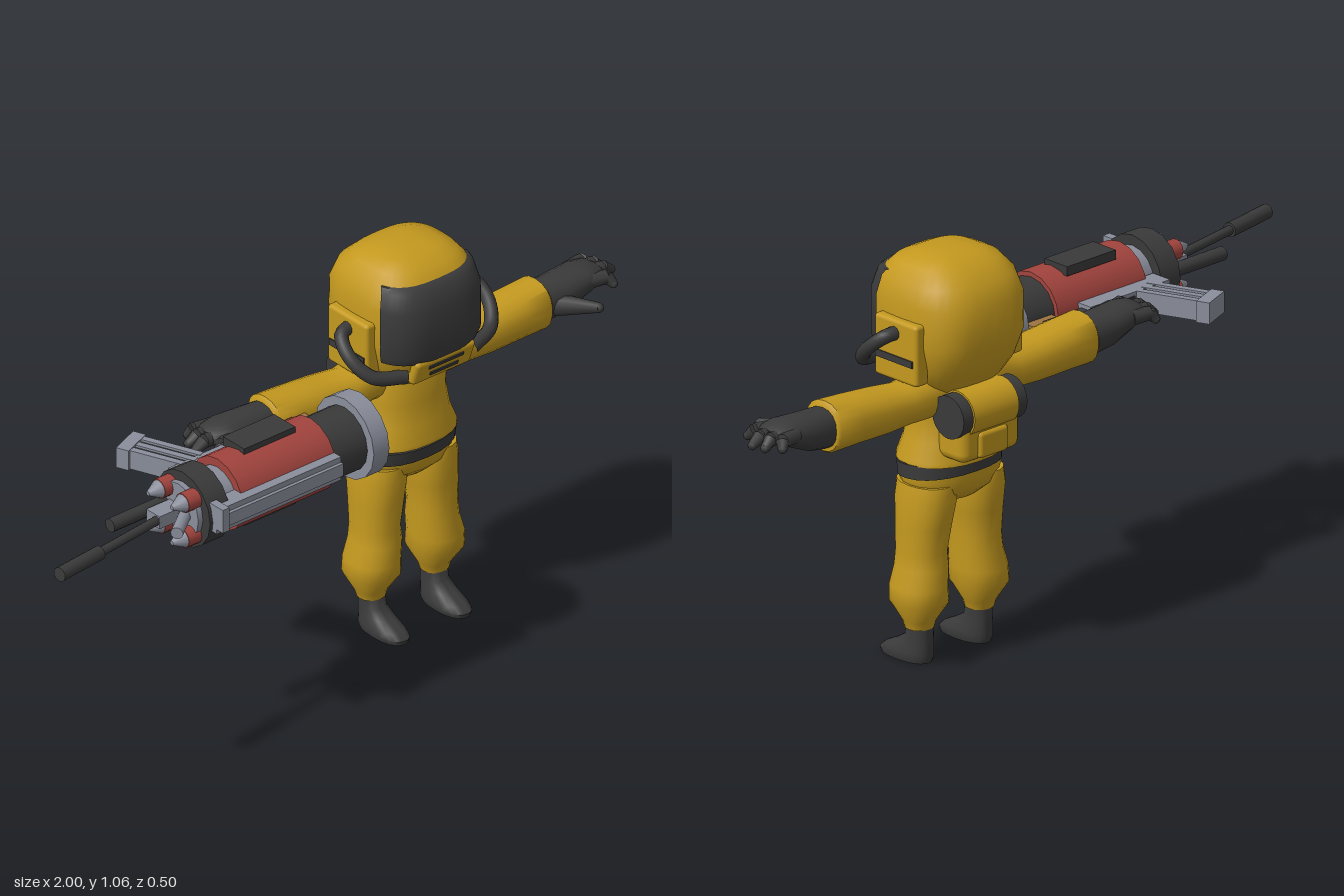
import * as THREE from 'three';
import { toCreasedNormals } from 'three/addons/utils/BufferGeometryUtils.js';
import { RoundedBoxGeometry } from 'three/addons/geometries/RoundedBoxGeometry.js';

const mat = (name, color) => {
  const m = new THREE.MeshStandardMaterial({ color });
  m.name = name;
  return m;
};

const V = (x, y, z) => new THREE.Vector3(x, y, z);

// Skin over stacked rings [height, centreU, centreV, radiusU, radiusV]; n is the squareness
function loft(rings, { n = 2.3, seg = 24, from = 0, to = Math.PI * 2 } = {}) {
  const pos = [], idx = [];
  const full = to - from > 6.28, count = full ? seg : seg + 1;
  const bend = (c) => Math.sign(c) * Math.abs(c) ** (2 / n);
  for (const [y, cu, cv, ru, rv] of rings)
    for (let j = 0; j < count; j++) {
      const a = from + ((to - from) * j) / seg;
      pos.push(cu + bend(Math.cos(a)) * ru, y, cv + bend(Math.sin(a)) * rv);
    }
  const last = rings.length - 1;
  for (const i of [0, last]) pos.push(rings[i][1], rings[i][0], rings[i][2]);
  const low = rings.length * count, high = low + 1;
  for (let j = 0; j < seg; j++) {
    const k = (j + 1) % count;
    for (let i = 0; i < last; i++) {
      const a = i * count + j, b = i * count + k;
      idx.push(a, a + count, b, b, a + count, b + count);
    }
    idx.push(low, j, k, high, last * count + k, last * count + j);
  }
  const g = new THREE.BufferGeometry();
  g.setAttribute('position', new THREE.Float32BufferAttribute(pos, 3));
  g.setIndex(idx);
  return toCreasedNormals(g, 0.9);
}

// Tapered cylinder between two points
function rod(a, b, ra, rb = ra, seg = 12) {
  const d = b.clone().sub(a);
  const g = new THREE.CylinderGeometry(rb, ra, d.length(), seg);
  g.applyQuaternion(new THREE.Quaternion().setFromUnitVectors(V(0, 1, 0), d.normalize()));
  return g.translate((a.x + b.x) / 2, (a.y + b.y) / 2, (a.z + b.z) / 2);
}

const box = (w, h, d, x, y, z) => new THREE.BoxGeometry(w, h, d).translate(x, y, z);
const softBox = (w, h, d, x, y, z, r = 0.015) => new RoundedBoxGeometry(w, h, d, 2, r).translate(x, y, z);

export function createModel() {
  const yellow = mat('suit yellow', 0xc4991f);
  const dark = mat('dark rubber', 0x3a3a3b);
  const grey = mat('metal grey', 0x8a8e9b);
  const red = mat('casing red', 0xa3443e);
  const tan = mat('grip tan', 0x9c7440);

  const model = new THREE.Group();
  const figure = new THREE.Group();
  figure.name = 'suitedFigure';
  figure.position.x = 0.32;
  const weapon = new THREE.Group();
  weapon.name = 'heavyGun';
  model.add(figure, weapon);

  const add = (parent, name, geometry, material) => {
    const mesh = new THREE.Mesh(geometry, material);
    mesh.name = name;
    parent.add(mesh);
    return mesh;
  };

  // Helmet, visor and mouthpiece
  add(figure, 'helmet', loft([
    [0.70, 0, -0.08, 0.08, 0.08], [0.735, 0, -0.075, 0.125, 0.115], [0.78, 0, -0.075, 0.15, 0.145],
    [0.85, 0, -0.08, 0.164, 0.167], [0.95, 0, -0.08, 0.162, 0.166], [1.0, 0, -0.077, 0.15, 0.145],
    [1.035, 0, -0.075, 0.122, 0.108], [1.052, 0, -0.075, 0.085, 0.07], [1.058, 0, -0.075, 0.04, 0.035],
  ], { n: 2.9, seg: 32 }), yellow);
  add(figure, 'visor', loft([
    [0.805, 0, -0.08, 0.156, 0.165], [0.83, 0, -0.08, 0.164, 0.175], [0.95, 0, -0.08, 0.164, 0.174],
    [1.0, 0, -0.077, 0.152, 0.153], [1.012, 0, -0.077, 0.146, 0.138],
  ], { n: 3, seg: 20, from: 0.4, to: Math.PI - 0.4 }), dark);
  const mouth = new THREE.Group();
  mouth.name = 'mouthpiece';
  mouth.position.set(0, 0.785, 0.042);
  mouth.rotation.x = 0.35;
  figure.add(mouth);
  add(mouth, 'mouthPlate', softBox(0.19, 0.075, 0.07, 0, 0, 0, 0.012), yellow);
  add(mouth, 'upperSlit', box(0.11, 0.01, 0.008, 0, 0.016, 0.034), dark);
  add(mouth, 'lowerSlit', box(0.09, 0.01, 0.008, 0, -0.01, 0.034), dark);

  // Torso, hips and belt
  add(figure, 'jacket', loft([
    [0.525, 0, -0.083, 0.142, 0.108], [0.535, 0, -0.083, 0.14, 0.108], [0.58, 0, -0.082, 0.122, 0.093],
    [0.64, 0, -0.082, 0.112, 0.085], [0.70, 0, -0.085, 0.118, 0.084], [0.74, 0, -0.085, 0.09, 0.07],
  ]), yellow);
  add(figure, 'hips', loft([
    [0.42, 0, -0.085, 0.06, 0.06], [0.445, 0, -0.085, 0.125, 0.085], [0.48, 0, -0.085, 0.141, 0.093],
    [0.53, 0, -0.083, 0.135, 0.092],
  ]), yellow);
  const belt = loft([[-0.018, 0, 0, 0.144, 0.096], [0.018, 0, 0, 0.144, 0.099]]);
  add(figure, 'belt', belt.rotateX(0.08).translate(0, 0.506, -0.083), dark);

  // Bedroll and backpack
  add(figure, 'backpack', softBox(0.2, 0.16, 0.1, 0, 0.628, -0.185, 0.025), yellow);
  add(figure, 'backpackPocket', softBox(0.1, 0.07, 0.03, 0, 0.59, -0.228, 0.012), yellow);
  add(figure, 'bedroll', rod(V(-0.108, 0.668, -0.19), V(0.108, 0.668, -0.19), 0.056, 0.056, 20), dark);
  add(figure, 'bedrollCover', rod(V(-0.075, 0.668, -0.19), V(0.075, 0.668, -0.19), 0.061, 0.061, 20), yellow);

  for (const s of [1, -1]) {
    const side = s > 0 ? 'left' : 'right';
    const P = (x, y, z) => V(s * x, y, z);

    // Ear panel and breathing hose
    add(figure, side + 'EarPanel', softBox(0.045, 0.16, 0.15, s * 0.16, 0.833, -0.08, 0.01), yellow);
    add(figure, side + 'EarStripe', box(0.008, 0.018, 0.13, s * 0.182, 0.812, -0.078), dark);
    const path = new THREE.CatmullRomCurve3([
      P(0.165, 0.88, -0.08), P(0.208, 0.873, -0.07), P(0.222, 0.835, -0.025), P(0.19, 0.787, 0.025), P(0.105, 0.768, 0.052),
    ]);
    add(figure, side + 'Hose', new THREE.TubeGeometry(path, 24, 0.018, 10), dark);

    // Trouser leg and boot
    const dx = s * 0.01;
    add(figure, side + 'Leg', loft([
      [0.09, dx, -0.083, 0.036, 0.035], [0.11, dx, -0.083, 0.042, 0.04], [0.16, dx, -0.082, 0.069, 0.075],
      [0.2, dx, -0.08, 0.067, 0.075], [0.25, 0, -0.08, 0.062, 0.07], [0.29, 0, -0.08, 0.059, 0.066],
      [0.36, -dx * 0.5, -0.082, 0.064, 0.073], [0.43, -dx, -0.085, 0.067, 0.083], [0.47, -dx, -0.085, 0.06, 0.08],
    ], { n: 2.2, seg: 18 }).translate(s * 0.092, 0, 0), yellow);
    add(figure, side + 'Boot', loft([
      [0, 0, -0.036, 0.037, 0.078], [0.012, 0, -0.037, 0.041, 0.082], [0.026, 0, -0.045, 0.039, 0.073],
      [0.045, 0, -0.065, 0.034, 0.054], [0.065, 0, -0.08, 0.031, 0.038], [0.1, 0, -0.083, 0.031, 0.033],
    ], { n: 2.3, seg: 18 }).translate(s * 0.1, 0, 0), dark);

    // Sleeve and glove palm, skinned upright then laid outwards
    const lay = (g) => g.rotateZ(-s * Math.PI / 2).translate(0, 0.705, -0.093);
    add(figure, side + 'Sleeve', lay(loft([
      [0.03, 0, 0, 0.06, 0.06], [0.12, 0.005, 0, 0.058, 0.062], [0.18, s * 0.008, 0, 0.052, 0.062],
      [0.26, s * 0.005, 0, 0.059, 0.066], [0.36, 0, 0, 0.063, 0.066], [0.435, -s * 0.002, 0, 0.067, 0.064], [0.442, 0, 0, 0.06, 0.058],
    ], { seg: 18 })), yellow);
    add(figure, side + 'Palm', lay(loft([
      [0.42, 0, 0, 0.052, 0.05], [0.46, -s * 0.003, 0, 0.052, 0.052], [0.51, -s * 0.008, 0, 0.048, 0.056],
      [0.57, -s * 0.022, 0.002, 0.036, 0.056], [0.61, -s * 0.028, 0.002, 0.024, 0.047], [0.625, -s * 0.028, 0, 0.014, 0.035],
    ], { seg: 16 })), dark);

    // Spread fingers: base z, tip x, tip z
    [[-0.132, 0.645, -0.152], [-0.108, 0.672, -0.118], [-0.08, 0.68, -0.082], [-0.056, 0.64, -0.025]].forEach(([z, tx, tz], i) => {
      const knuckle = P((0.58 + tx) / 2 + 0.01, 0.732, (z + tz) / 2), tip = P(tx - 0.012, 0.716, tz);
      add(figure, side + 'FingerBase' + i, rod(P(0.57, 0.73, z), knuckle, 0.02, 0.018, 8), dark);
      add(figure, side + 'FingerTip' + i, rod(knuckle, tip, 0.018, 0.012, 8), dark);
      add(figure, side + 'FingerEnd' + i, new THREE.SphereGeometry(0.012, 8, 6).translate(tip.x, tip.y, tip.z), dark);
    });
    add(figure, side + 'Thumb', rod(P(0.47, 0.7, -0.065), P(0.535, 0.708, 0.03), 0.03, 0.013, 10), dark);
    add(figure, side + 'ThumbEnd', new THREE.SphereGeometry(0.013, 8, 6).translate(s * 0.535, 0.708, 0.03), dark);
  }

  // Gun body, a row of drums along x: name, start, end, radius, material
  const Y = 0.715, Z = 0.108;
  [
    ['rearDisc', -0.03, 0.02, 0.11, grey], ['rearDrum', -0.15, -0.02, 0.086, dark], ['redCasing', -0.44, -0.14, 0.098, red],
    ['frontHub', -0.565, -0.43, 0.075, grey], ['frontCollar', -0.55, -0.485, 0.102, dark],
  ].forEach(([name, x0, x1, r, m]) => add(weapon, name, rod(V(x0, Y, Z), V(x1, Y, Z), r, r, 16), m));

  // Dark panels above and below, side rail and sight
  for (const s of [1, -1])
    add(weapon, s > 0 ? 'topPanel' : 'bottomPanel', box(0.165, 0.025, 0.08, -0.29, Y + s * 0.097, 0.09), dark);
  add(weapon, 'sideRail', box(0.4, 0.066, 0.05, -0.34, 0.722, 0.198), grey);
  add(weapon, 'railEdge', box(0.4, 0.035, 0.012, -0.34, 0.722, 0.226), grey);
  add(weapon, 'frontSight', box(0.022, 0.065, 0.05, -0.53, 0.735, 0.222), grey);

  // Four small red canisters with pointed caps
  for (const sy of [1, -1]) for (const sz of [1, -1]) {
    const y = Y + sy * 0.05, z = Z + sz * 0.045;
    add(weapon, 'canister', rod(V(-0.54, y, z), V(-0.59, y, z), 0.026), red);
    add(weapon, 'canisterCap', rod(V(-0.59, y, z), V(-0.625, y, z), 0.024, 0.006), grey);
  }

  // Barrels
  add(weapon, 'mainBarrel', rod(V(-0.55, Y, 0.1), V(-0.86, 0.721, 0.146), 0.012), dark);
  add(weapon, 'barrelSleeve', rod(V(-0.85, 0.721, 0.145), V(-0.997, 0.725, 0.166), 0.019), dark);
  add(weapon, 'sideBarrel', rod(V(-0.54, Y, 0.055), V(-0.74, Y, 0.055), 0.018), dark);
  add(weapon, 'barrelBlock', box(0.08, 0.035, 0.05, -0.6, Y, 0.1), grey);
  add(weapon, 'frontLever', rod(V(-0.56, Y, 0.13), V(-0.64, Y, 0.19), 0.016), grey);

  // Receiver, grip and slanted ribbed magazine
  add(weapon, 'receiver', box(0.27, 0.05, 0.06, -0.345, Y, 0), grey);
  add(weapon, 'gripBar', box(0.28, 0.03, 0.035, -0.22, Y, -0.015), dark);
  add(weapon, 'rearGrip', box(0.09, 0.045, 0.07, -0.085, Y - 0.01, 0), tan);
  const magazine = new THREE.Group();
  magazine.name = 'magazine';
  magazine.position.set(-0.435, Y, -0.1);
  magazine.rotation.y = 0.38;
  weapon.add(magazine);
  add(magazine, 'magazineCore', box(0.065, 0.04, 0.19, 0, 0, 0), dark);
  for (const x of [-0.03, 0, 0.03]) add(magazine, 'magazineRib', box(0.018, 0.052, 0.18, x, 0, 0), grey);
  add(magazine, 'magazineEnd', box(0.09, 0.056, 0.035, 0, 0, -0.09), grey);

  return model;
}
